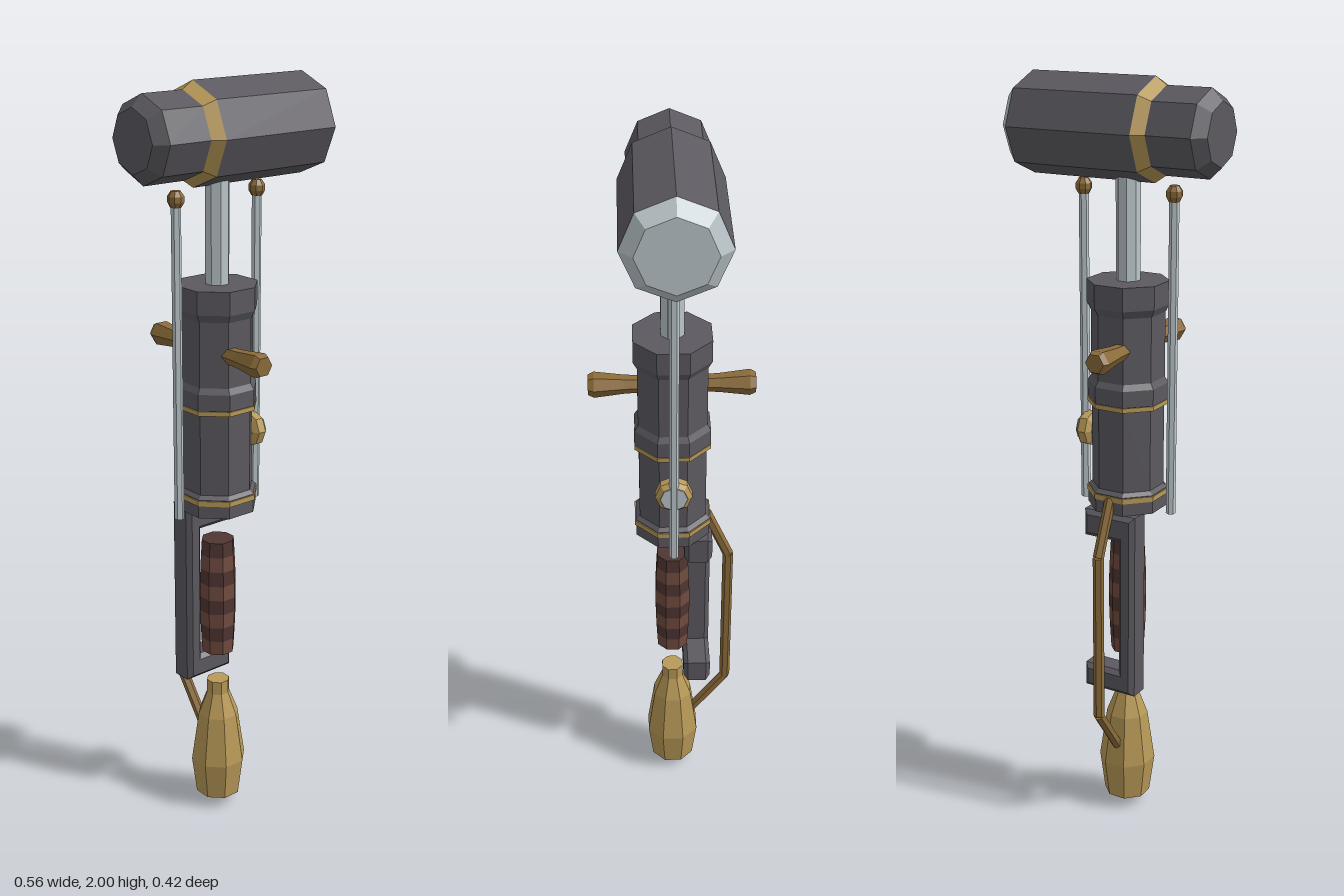
import * as THREE from 'three';

const mat = (name, color) => {
  const m = new THREE.MeshStandardMaterial({ color });
  m.name = name;
  return m;
};

export function createModel() {
  const iron = mat('dark iron', 0x5c5a60);
  const steel = mat('pale steel', 0xbcc7cb);
  const brass = mat('brass', 0xb99a58);
  const bronze = mat('bronze', 0x8c6c3a);
  const woodDark = mat('dark wood', 0x503632);
  const woodLight = mat('light wood', 0x714c40);

  const model = new THREE.Group();
  model.name = 'pneumaticHammer';
  const AXIS = -0.025; // x of the shaft line
  const FLAT = Math.PI / 8; // turns an octagon so a flat faces front
  const K = 1 / Math.cos(FLAT); // apothem to corner radius

  // faceted mesh with hard edges
  function add(name, geo, material, parent = model) {
    const g = geo.index ? geo.toNonIndexed() : geo;
    g.computeVertexNormals();
    const mesh = new THREE.Mesh(g, material);
    mesh.name = name;
    parent.add(mesh);
    return mesh;
  }
  // profile is [radius, height] pairs from bottom to top
  const turned = (profile, sides = 8) =>
    new THREE.LatheGeometry(profile.map(([r, y]) => new THREE.Vector2(r, y)), sides);
  // octagonal turned part on the shaft line, radii given to the flats
  function shaftPart(name, profile, material) {
    const geo = turned(profile.map(([r, y]) => [r * K, y])).rotateY(FLAT);
    const mesh = add(name, geo, material);
    mesh.position.x = AXIS;
    return mesh;
  }
  // straight bar between two points
  function bar(name, a, b, r, material, parent) {
    const dir = b.clone().sub(a);
    const mesh = add(name, new THREE.CylinderGeometry(r, r, dir.length(), 6), material, parent);
    mesh.position.copy(a).add(b).multiplyScalar(0.5);
    mesh.quaternion.setFromUnitVectors(new THREE.Vector3(0, 1, 0), dir.normalize());
  }

  // Hammer head, turned along x
  const head = new THREE.Group();
  head.name = 'hammerHead';
  head.position.y = 1.873;
  model.add(head);
  [
    ['headRear', [[0, -0.28], [0.078, -0.28], [0.107, -0.25], [0.107, -0.13]], iron],
    ['headBand', [[0.107, -0.13], [0.127, -0.1]], brass],
    ['headBody', [[0.127, -0.1], [0.127, 0.25]], iron],
    ['strikingFace', [[0.127, 0.25], [0.094, 0.28], [0, 0.28]], steel],
  ].forEach(([name, p, m]) => add(name, turned(p).rotateZ(-Math.PI / 2), m, head));

  // Piston shaft
  shaftPart('pistonShaft', [[0.029, 1.45], [0.029, 1.8]], steel);

  // Barrel with its collars and brass rings
  shaftPart('barrel', [
    [0, 0.9], [0.097, 0.9], [0.097, 0.95], [0.087, 0.96], [0.087, 1.185],
    [0.097, 1.192], [0.097, 1.235], [0.088, 1.25], [0.088, 1.42],
    [0.098, 1.44], [0.098, 1.5], [0, 1.5],
  ], iron);
  shaftPart('lowerRing', [[0.096, 0.934], [0.1, 0.934], [0.1, 0.948], [0.096, 0.948]], brass);
  shaftPart('middleRing', [[0.086, 1.179], [0.098, 1.179], [0.098, 1.191], [0.086, 1.191]], brass);

  // Guide rods with small finials
  for (const s of [-1, 1]) {
    const x = AXIS + s * 0.129;
    bar('guideRod', new THREE.Vector3(x, 0.895, 0), new THREE.Vector3(x, 1.715, 0), 0.0125, steel);
    const finial = add('rodFinial', turned([
      [0, 1.705], [0.014, 1.705], [0.021, 1.718], [0.021, 1.732], [0.012, 1.745], [0, 1.745],
    ]), bronze);
    finial.position.x = x;
  }

  // Front and back side handles
  for (const s of [-1, 1]) {
    const geo = turned([[0.021, 0.06], [0.024, 0.12], [0.033, 0.197], [0.026, 0.212], [0, 0.212]], 6);
    geo.rotateY(Math.PI / 2).rotateX(s * Math.PI / 2);
    geo.rotateZ(0);
    const handle = add('sideHandle', geo, bronze);
    handle.position.set(-0.053, 1.334, 0);
  }

  // Pressure gauge on the left of the barrel
  const gauge = new THREE.Group();
  gauge.name = 'gauge';
  gauge.position.y = 1.09;
  model.add(gauge);
  add('gaugeCase', turned([
    [0.03, 0.05], [0.03, 0.068], [0.048, 0.078], [0.048, 0.1], [0.036, 0.11], [0, 0.11],
  ]).rotateZ(-Math.PI / 2), brass, gauge);
  add('gaugeFace', turned([[0.035, 0.109], [0.035, 0.113], [0, 0.113]]).rotateZ(-Math.PI / 2), steel, gauge);

  // C-shaped bracket behind the grip, open towards +x
  const b = 0.012;
  const c = new THREE.Shape([
    [-0.1 + b, 0.385 + b], [0.05 - b, 0.385 + b], [0.05 - b, 0.452 - b], [-0.052 - b, 0.452 - b],
    [-0.052 - b, 0.826 + b], [0.05 - b, 0.826 + b], [0.05 - b, 0.9 - b], [-0.1 + b, 0.9 - b],
  ].map(([x, y]) => new THREE.Vector2(x, y)));
  const bracket = add('gripBracket', new THREE.ExtrudeGeometry(c, {
    depth: 0.075 - 2 * b, bevelSize: b, bevelThickness: b, bevelSegments: 1,
  }), iron);
  bracket.position.z = -0.105 + b;

  // Banded wooden grip with a slight swell
  const bands = 8, y0 = 0.475, step = 0.33 / bands;
  const gripRadius = (i) => 0.041 + 0.006 * Math.sin((i / bands) * Math.PI);
  for (let i = 0; i < bands; i++) {
    const p = [[gripRadius(i), y0 + i * step], [gripRadius(i + 1), y0 + (i + 1) * step]];
    if (i === 0) p.unshift([0, y0]);
    if (i === bands - 1) p.push([0, y0 + bands * step]);
    shaftPart('gripBand', p, i % 2 ? woodDark : woodLight);
  }

  // Brass flask at the foot
  shaftPart('flask', [
    [0, 0], [0.058, 0.033], [0.071, 0.14], [0.052, 0.28], [0.029, 0.345], [0.029, 0.383], [0, 0.383],
  ], brass);

  // Bent pipe from the flask up to the barrel
  const pipe = new THREE.Group();
  pipe.name = 'feedPipe';
  model.add(pipe);
  const path = [[0.2, -0.055], [0.335, -0.152], [0.795, -0.152], [0.94, -0.09]]
    .map(([y, z]) => new THREE.Vector3(AXIS, y, z));
  for (let i = 0; i < 3; i++) bar('pipeSection', path[i], path[i + 1], 0.0145, bronze, pipe);

  return model;
}
